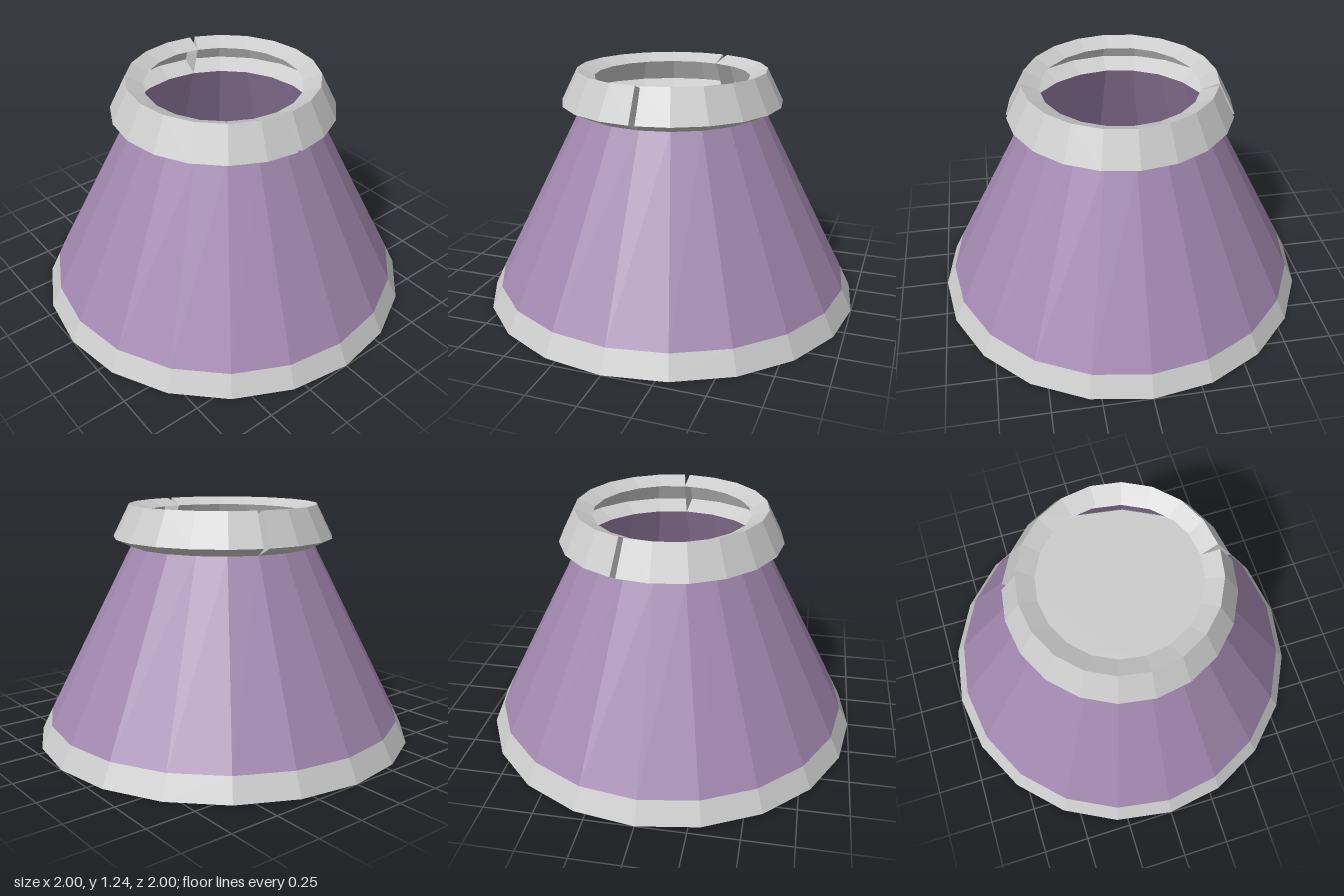
import * as THREE from 'three';

const SIDES = 20;

function material(color) {
  return new THREE.MeshStandardMaterial({ color, flatShading: true, side: THREE.DoubleSide });
}

// Open cone band between two heights
function band(name, rBottom, rTop, yBottom, yTop, color) {
  const geo = new THREE.CylinderGeometry(rTop, rBottom, yTop - yBottom, SIDES, 1, true);
  geo.translate(0, (yBottom + yTop) / 2, 0);
  const mesh = new THREE.Mesh(geo, material(color));
  mesh.name = name;
  return mesh;
}

// Channel-shaped collar, open towards the inside, with V-shaped slits
function collarGeometry() {
  // [radius, height, splits at a slit]
  const profile = [[0.485, 1.02, 0], [0.58, 1.065, 1], [0.495, 1.235, 1], [0.405, 1.197, 0]];
  const slits = [0, 11];
  const halfSlit = 0.027;
  const pos = [];

  const section = (k, side) => {
    const open = slits.includes(k % SIDES) ? side * halfSlit : 0;
    return profile.map(([r, y, split]) => {
      const a = (k / SIDES) * Math.PI * 2 + open * split;
      return [r * Math.cos(a), y, r * Math.sin(a)];
    });
  };
  const quad = (a, b, c, d) => pos.push(...a, ...b, ...c, ...a, ...c, ...d);

  for (let k = 0; k < SIDES; k++) {
    const s = section(k, 1), e = section(k + 1, -1);
    for (let i = 0; i < 3; i++) quad(s[i], s[i + 1], e[i + 1], e[i]);
    // Slit walls
    if (slits.includes(k)) quad(s[3], s[2], s[1], s[0]);
    if (slits.includes((k + 1) % SIDES)) quad(e[0], e[1], e[2], e[3]);
  }
  const geo = new THREE.BufferGeometry();
  geo.setAttribute('position', new THREE.Float32BufferAttribute(pos, 3));
  geo.computeVertexNormals();
  return geo;
}

export function createModel() {
  const group = new THREE.Group();
  group.name = 'flaredSkirtWithCollar';

  // Hollow flared body with a hem
  group.add(band('hem', 1, 0.944, 0, 0.113, 0xcccccc));
  group.add(band('skirt', 0.944, 0.485, 0.113, 1.02, 0xa288b0));

  // Floor closing the underside
  const floor = new THREE.Mesh(new THREE.CircleGeometry(1, SIDES), material(0xcccccc));
  floor.rotation.x = Math.PI / 2;
  floor.name = 'floor';
  group.add(floor);

  // Collar around the open top
  const collar = new THREE.Mesh(collarGeometry(), material(0xcccccc));
  collar.name = 'collar';
  group.add(collar);

  return group;
}
